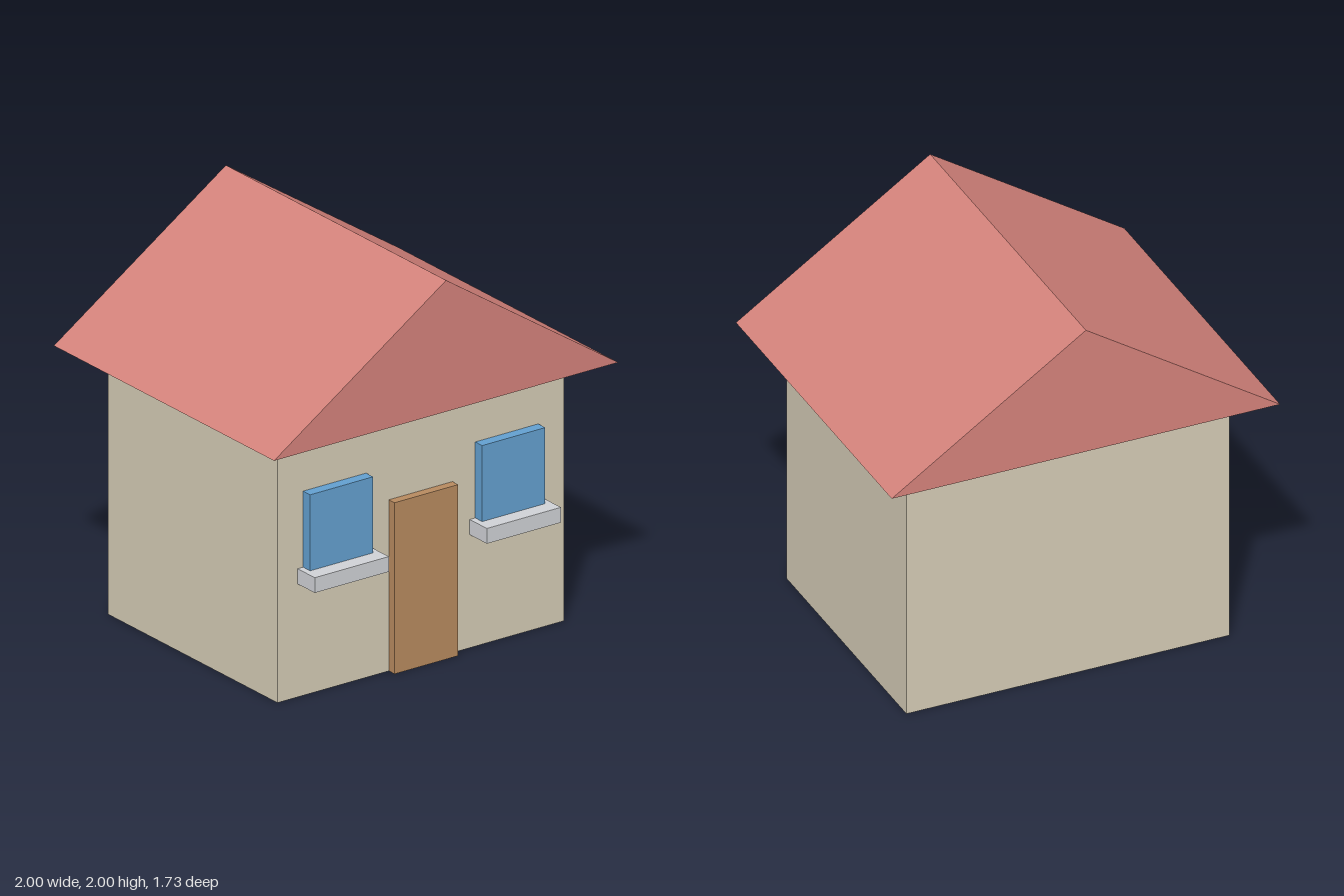
import * as THREE from 'three';

const mat = (name, color, side = THREE.FrontSide) => {
  const m = new THREE.MeshStandardMaterial({ color, side });
  m.name = name;
  return m;
};

// Box given by its x centre, width, y range and z range
function block(name, material, x, width, [y0, y1], [z0, z1]) {
  const mesh = new THREE.Mesh(new THREE.BoxGeometry(width, y1 - y0, z1 - z0), material);
  mesh.position.set(x, (y0 + y1) / 2, (z0 + z1) / 2);
  mesh.name = name;
  return mesh;
}

// Gabled shell: two slopes and two gable ends, open underneath
function gableRoof(half, eave, ridge, depth) {
  const points = [];
  for (const z of [depth, -depth]) points.push(-half, eave, z, half, eave, z, 0, ridge, z);
  const geometry = new THREE.BufferGeometry();
  geometry.setAttribute('position', new THREE.Float32BufferAttribute(points, 3));
  geometry.setIndex([
    0, 1, 2, 4, 3, 5, // gables
    1, 4, 5, 1, 5, 2, // left slope
    3, 0, 2, 3, 2, 5, // right slope
  ]);
  const flat = geometry.toNonIndexed();
  flat.computeVertexNormals();
  return flat;
}

export function createModel() {
  const house = new THREE.Group();
  house.name = 'house';
  const wall = mat('cream wall', 0xd4cbb5);
  const tile = mat('red roof', 0xd4827b, THREE.DoubleSide);
  const glass = mat('blue glass', 0x639fcf);
  const wood = mat('brown wood', 0xb78a5f);
  const stone = mat('grey stone', 0xcfd1d5);

  const wallFront = 0.665;
  const eave = 1.335;
  house.add(block('walls', wall, 0, 1.664, [0, eave], [-wallFront, wallFront]));

  const roof = new THREE.Mesh(gableRoof(1, eave, 2, 0.865), tile);
  roof.name = 'roof';
  house.add(roof);

  house.add(block('door', wood, 0, 0.37, [0, 0.867], [wallFront, 0.71]));

  // Matching window and sill on each side of the door
  for (const [side, x] of [['left', 0.5], ['right', -0.5]]) {
    house.add(block(side + 'Window', glass, x, 0.366, [0.65, 1.035], [wallFront, 0.72]));
    house.add(block(side + 'Sill', stone, x, 0.43, [0.573, 0.65], [wallFront, 0.8]));
  }
  return house;
}
